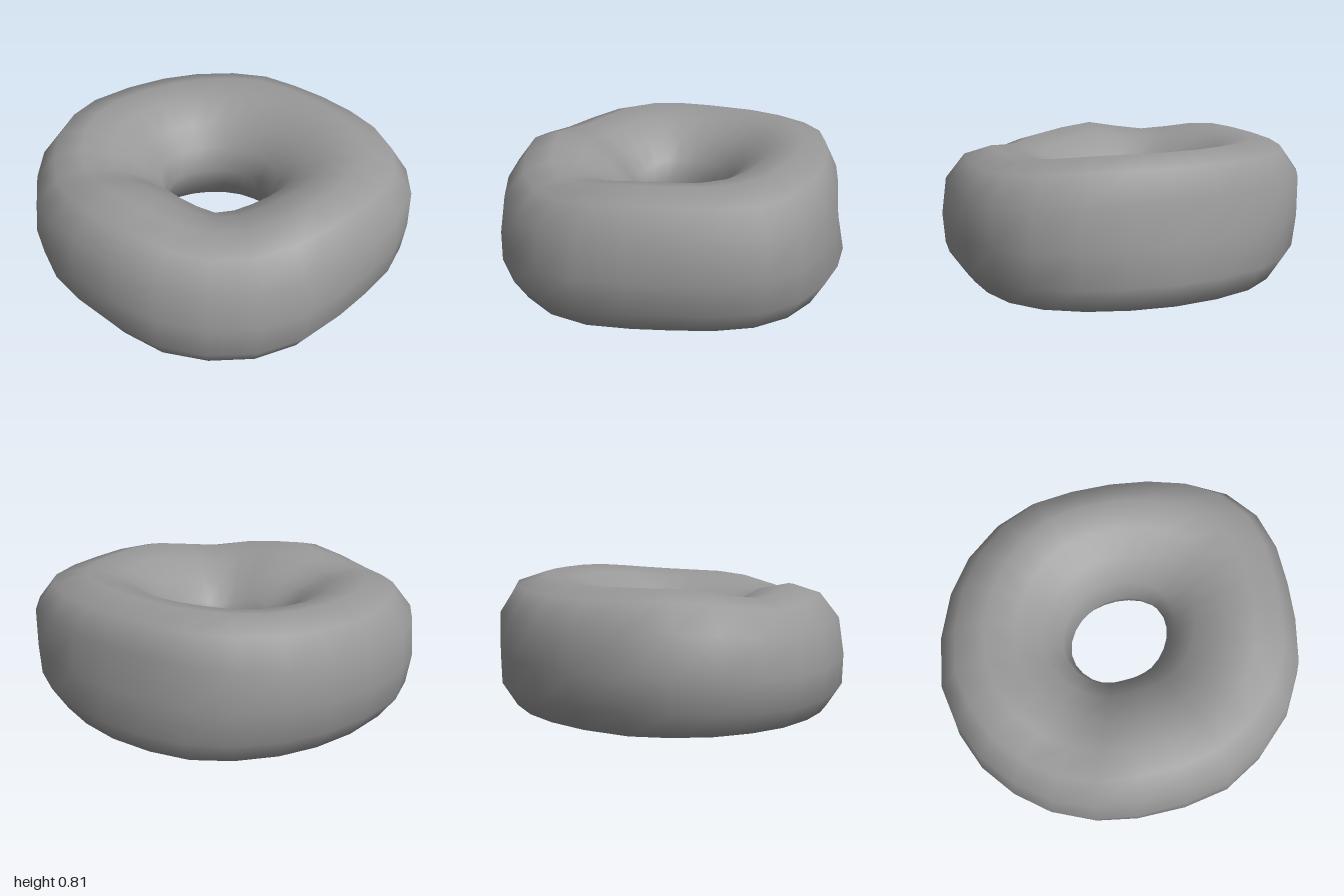
import * as THREE from 'three';

// outer outline seen from above (x, z), from the back round the left side to the front
const OUTLINE = [
  [0.05, -0.965], [0.29, -0.95], [0.52, -0.9], [0.73, -0.8], [0.88, -0.64], [0.96, -0.43], [0.99, -0.2],
  [1, 0.02], [0.98, 0.27], [0.88, 0.5], [0.71, 0.69], [0.5, 0.84], [0.25, 0.92], [-0.02, 0.96],
  [-0.25, 0.95], [-0.48, 0.88], [-0.67, 0.76], [-0.83, 0.6], [-0.94, 0.4], [-1, 0.18],
  [-0.98, -0.1], [-0.91, -0.35], [-0.8, -0.56], [-0.63, -0.75], [-0.43, -0.88], [-0.2, -0.94],
];
// crest height at each outline point, with two shallow dips at the front
const CREST = [
  0.81, 0.81, 0.805, 0.79, 0.775, 0.765, 0.76, 0.757, 0.74, 0.71, 0.69, 0.72, 0.745, 0.765,
  0.735, 0.715, 0.735, 0.765, 0.78, 0.78, 0.78, 0.785, 0.79, 0.8, 0.81, 0.81,
];
// ring cross-section: (0 = hole .. 1 = outside, 0 = bottom .. 1 = crest)
const PROFILE = [
  [0, 0.5], [0.06, 0.67], [0.2, 0.83], [0.4, 0.95], [0.62, 1], [0.82, 0.935], [0.96, 0.75],
  [1, 0.47], [0.97, 0.24], [0.85, 0.07], [0.6, 0], [0.4, 0.045], [0.2, 0.16], [0.06, 0.33],
];
const HOLE = { z: -0.04, a: 0.29, b: 0.232, tilt: -0.47 };
// swellings and dents of the outer wall: angle, height, amount
const BUMPS = [
  [-Math.PI / 2, 0.6, -0.09], // back wall sinks in
  [-Math.PI / 2, 0.1, 0.06], // back foot swells
  [-0.75, 0.85, 0.05], // back left shoulder
  [-2.36, 0.85, 0.04], // back right shoulder
  [Math.PI, 0.85, 0.035], // right shoulder
  [0.9, 0.08, 0.06], // front left foot
];

function bulge(t, s, h) {
  let sum = 0;
  for (const [angle, height, amount] of BUMPS) {
    const near = Math.max(0, Math.cos(t - angle)) ** 4;
    sum += amount * near * Math.max(0, 1 - Math.abs(h - height) / 0.4);
  }
  return sum * THREE.MathUtils.smoothstep(s, 0.6, 0.85);
}

function ringGeometry() {
  const n = OUTLINE.length, m = PROFILE.length;
  const pos = [], index = [];
  OUTLINE.forEach(([ox, oz], i) => {
    // point on the tilted oval hole in the same direction
    const t = Math.atan2(oz - HOLE.z, ox), e = t - HOLE.tilt;
    const r = 1 / Math.hypot(Math.cos(e) / HOLE.a, Math.sin(e) / HOLE.b);
    const ix = r * Math.cos(t), iz = HOLE.z + r * Math.sin(t);
    // the underside sags to the ground at the front left
    const bottom = 0.04 - 0.04 * Math.max(0, Math.cos(t - 0.75)) ** 3;
    PROFILE.forEach(([s, h], j) => {
      const k = s + bulge(t, s, h);
      pos.push(ix + (ox - ix) * k, bottom + (CREST[i] - bottom) * h, iz + (oz - iz) * k);
      const i2 = (i + 1) % n, j2 = (j + 1) % m;
      const a = i * m + j, b = i2 * m + j, c = i2 * m + j2, d = i * m + j2;
      index.push(a, b, c, a, c, d);
    });
  });
  const g = new THREE.BufferGeometry();
  g.setAttribute('position', new THREE.Float32BufferAttribute(pos, 3));
  g.setIndex(index);
  g.computeVertexNormals();
  return g;
}

export function createModel() {
  const group = new THREE.Group();
  const ring = new THREE.Mesh(ringGeometry(), new THREE.MeshStandardMaterial({ color: 0x999999 }));
  ring.name = 'doughRing';
  group.add(ring);
  return group;
}
